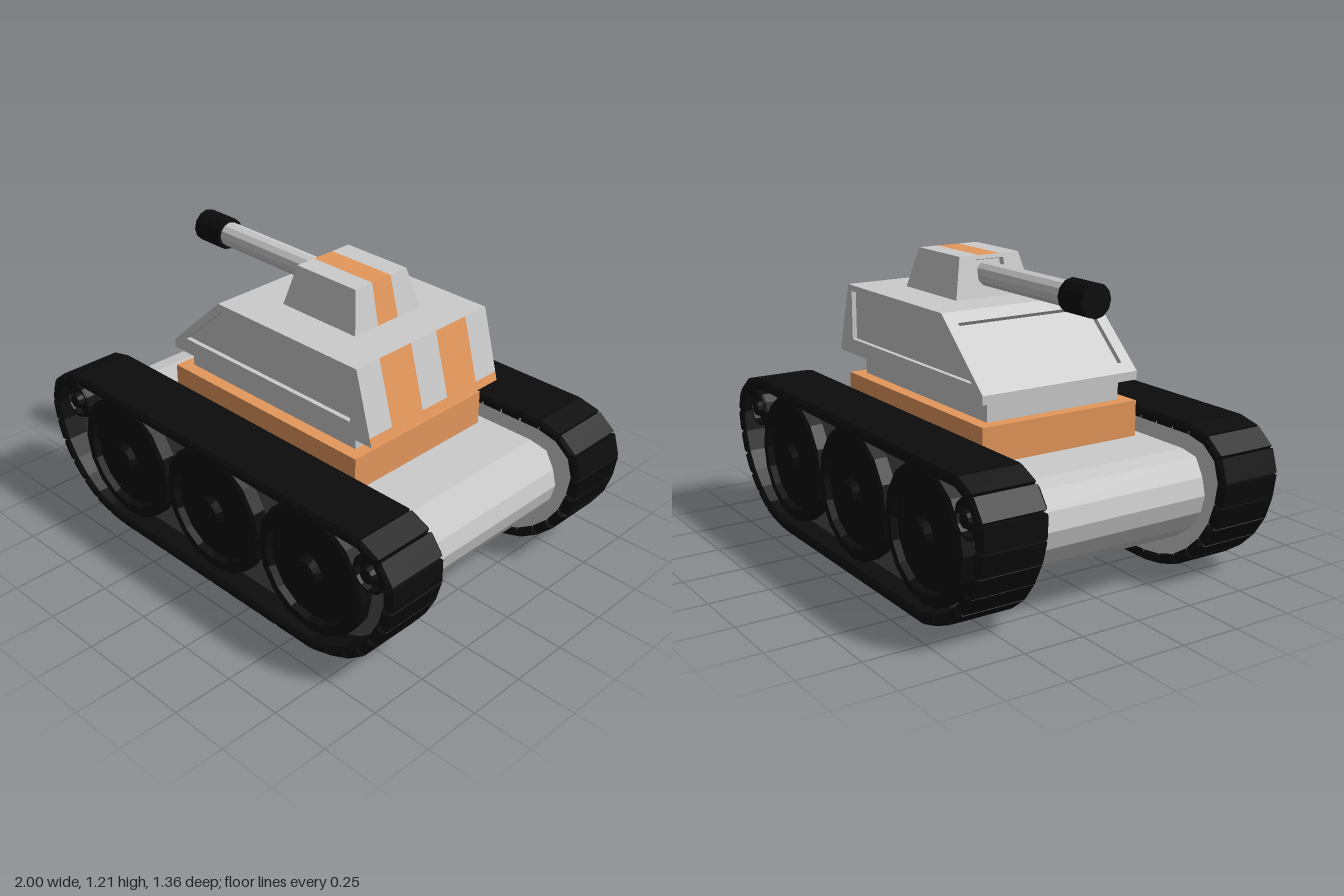
import * as THREE from 'three';
import { mergeGeometries } from 'three/addons/utils/BufferGeometryUtils.js';

const mat = (color) => new THREE.MeshStandardMaterial({ color, flatShading: true });
const grey = mat(0xcccccc), orange = mat(0xe6985c), black = mat(0x0c0c0c), dark = mat(0x4c4c4c);
const V = (x, y, z) => new THREE.Vector3(x, y, z);

function add(parent, name, geometry, material, x = 0, y = 0, z = 0) {
  const mesh = new THREE.Mesh(geometry, material);
  mesh.name = name;
  mesh.position.set(x, y, z);
  parent.add(mesh);
  return mesh;
}

// Collects flat convex faces, turned outward from a centre point
class Faces {
  constructor(centre) { this.centre = centre; this.pos = []; }
  fan(p) {
    for (let i = 1; i < p.length - 1; i++) {
      const t = new THREE.Triangle(p[0], p[i], p[i + 1]);
      if (t.getArea() > 1e-7) for (const v of [t.a, t.b, t.c]) this.pos.push(v.x, v.y, v.z);
    }
  }
  normal(p) { return new THREE.Triangle(p[0], p[1], p[2]).getNormal(new THREE.Vector3()); }
  inward(p) { return this.normal(p).dot(p[0].clone().sub(this.centre)) < 0; }
  face(...p) { this.fan(this.inward(p) ? p.reverse() : p); return this; }
  // Face with a sunken panel: frame, walls and floor
  inset(outer, inner, depth) {
    if (this.inward(outer)) { outer = [...outer].reverse(); inner = [...inner].reverse(); }
    const push = this.normal(outer).multiplyScalar(-depth);
    const floor = inner.map((v) => v.clone().add(push));
    outer.forEach((o, i) => {
      const j = (i + 1) % outer.length;
      this.fan([o, outer[j], inner[j], inner[i]]);
      this.fan([inner[i], inner[j], floor[j], floor[i]]);
    });
    this.fan(floor);
    return this;
  }
  geometry() {
    const g = new THREE.BufferGeometry();
    g.setAttribute('position', new THREE.Float32BufferAttribute(this.pos, 3));
    g.computeVertexNormals();
    return g;
  }
}

// Mirrors a half outline (top to bottom, +x) into a closed one
const mirrored = (half) => [...half, ...[...half].reverse().map(([x, y]) => [-x, y])];

function slab(points, z0, z1) {
  const shape = new THREE.Shape(points.map(([x, y]) => new THREE.Vector2(x, y)));
  return new THREE.ExtrudeGeometry(shape, { depth: z1 - z0, bevelEnabled: false }).translate(0, 0, z0);
}

const hullOutline = mirrored([[0.75, 0.525], [0.83, 0.51], [0.87, 0.44], [0.888, 0.37],
  [0.87, 0.3], [0.82, 0.225], [0.74, 0.165], [0.6, 0.105]]);
const trackOutline = mirrored([[0.83, 0.607], [0.925, 0.565], [0.975, 0.49], [0.975, 0.4],
  [0.94, 0.275], [0.86, 0.155], [0.75, 0.07], [0.6, 0.024]]);

// Ring of bevelled links following the track outline
function trackLinks() {
  const path = new THREE.CurvePath();
  const pts = trackOutline.map(([x, y]) => new THREE.Vector2(x, y));
  pts.forEach((p, i) => path.add(new THREE.LineCurve(p, pts[(i + 1) % pts.length])));
  const count = 48, pitch = path.getLength() / count, b = 0.012;
  const w = pitch / 2 - b, h = 0.023 - b;
  const shape = new THREE.Shape([[-w, -h], [w, -h], [w, h], [-w, h]].map((p) => new THREE.Vector2(...p)));
  const link = new THREE.ExtrudeGeometry(shape, {
    depth: 0.282 - 2 * b, bevelSize: b, bevelThickness: b, bevelSegments: 1,
  }).translate(0, 0, 0.397 + b);
  const links = [];
  for (let i = 0; i < count; i++) {
    const p = path.getPointAt(i / count), q = path.getPointAt(((i + 1) % count) / count);
    links.push(link.clone().rotateZ(Math.atan2(q.y - p.y, q.x - p.x))
      .translate((p.x + q.x) / 2, (p.y + q.y) / 2, 0));
  }
  return mergeGeometries(links);
}

// Wheel with raised rim, sunken disc and hub, outer face toward +z
function wheel(r, hub, segments) {
  const profile = [[0, 0], [r, 0], [r, 0.19], [r * 0.95, 0.2], [r * 0.82, 0.2], [r * 0.78, 0.175],
    [hub * 1.3, 0.185], [hub, 0.21], [hub * 0.7, 0.215], [0, 0.215]];
  return new THREE.LatheGeometry(profile.map((p) => new THREE.Vector2(...p)), segments).rotateX(Math.PI / 2);
}

function makeTrack(name) {
  const track = new THREE.Group();
  track.name = name;
  const plate = trackOutline.map(([x, y]) => [x * 0.985, 0.315 + (y - 0.315) * 0.97]);
  add(track, 'links', trackLinks(), black);
  add(track, 'innerPlate', slab(plate, 0.405, 0.43), grey);
  add(track, 'outerPlate', slab(plate, 0.43, 0.58), dark);
  for (const x of [-0.545, 0, 0.545]) add(track, 'roadWheel', wheel(0.272, 0.052, 16), black, x, 0.32, 0.445);
  for (const x of [-0.855, 0.855]) add(track, 'idlerWheel', wheel(0.08, 0.03, 12), black, x, 0.475, 0.445);
  return track;
}

function makeTurret() {
  const turret = new THREE.Group();
  turret.name = 'turret';
  const body = new Faces(V(0.05, 0.9, 0)), paint = new Faces(V(0.05, 0.9, 0));
  const W = 0.36;
  const side = [[-0.52, 0.755], [0.595, 0.755], [0.515, 1.05], [-0.235, 1.05], [-0.52, 0.79]];
  const panel = [[-0.445, 0.82], [0.485, 0.82], [0.485, 1.025], [-0.215, 1.025], [-0.445, 0.82]];
  // Sides with sunken panels
  for (const s of [-W, W]) body.inset(side.map(([x, y]) => V(x, y, s)), panel.map(([x, y]) => V(x, y, s)), 0.02);
  const strip = (f, a, b, z0, z1) =>
    f.face(V(...a, z0), V(...a, z1), V(...b, z1), V(...b, z0));
  strip(body, side[0], side[1], -W, W);
  strip(body, side[2], side[3], -W, W);
  strip(body, side[4], side[0], -W, W);
  // Sloped front with sunken window
  const rect = (a, b, w) => [V(...a, -w), V(...a, w), V(...b, w), V(...b, -w)];
  body.inset(rect(side[4], side[3], W), rect([-0.485, 0.822], [-0.275, 1.0135], 0.31), 0.02);
  // Striped rear
  const low = [0.5855, 0.79];
  strip(paint, side[1], low, -W, W);
  const cuts = [-W, -0.24, -0.07, 0.07, 0.24, W];
  for (let i = 0; i < 5; i++) strip(i % 2 ? paint : body, low, side[2], cuts[i], cuts[i + 1]);
  add(turret, 'turretBody', body.geometry(), grey);
  add(turret, 'turretStripes', paint.geometry(), orange);
  return turret;
}

function makeCupola() {
  const cupola = new THREE.Group();
  cupola.name = 'cupola';
  const body = new Faces(V(0.14, 1.12, 0)), paint = new Faces(V(0.14, 1.12, 0));
  const y0 = 1.05, y1 = 1.215, b = 0.18, t = 0.14;
  for (const s of [-1, 1]) {
    body.face(V(-0.055, y0, s * b), V(0.335, y0, s * b), V(0.295, y1, s * t), V(-0.015, y1, s * t));
  }
  // Front with the gun opening
  const fx = (y) => -0.055 + 0.04 * (y - y0) / (y1 - y0);
  const frontRect = (l, h, wl, wh) => [V(fx(l), l, -wl), V(fx(l), l, wl), V(fx(h), h, wh), V(fx(h), h, -wh)];
  body.inset(frontRect(y0, y1, b, t), frontRect(1.07, 1.198, 0.065, 0.065), 0.03);
  // Stripe over the roof and rear
  const lowCuts = [-b, -0.055, 0.055, b], topCuts = [-t, -0.05, 0.05, t];
  for (let i = 0; i < 3; i++) {
    const f = i === 1 ? paint : body, [c, d] = [topCuts[i], topCuts[i + 1]];
    f.face(V(-0.015, y1, c), V(-0.015, y1, d), V(0.295, y1, d), V(0.295, y1, c));
    f.face(V(0.335, y0, lowCuts[i]), V(0.335, y0, lowCuts[i + 1]), V(0.295, y1, d), V(0.295, y1, c));
  }
  add(cupola, 'cupolaBody', body.geometry(), grey);
  add(cupola, 'cupolaStripe', paint.geometry(), orange);
  // Gun
  const rod = (r, len) => new THREE.CylinderGeometry(r, r, len, 12).rotateZ(Math.PI / 2);
  add(cupola, 'barrel', rod(0.051, 0.64), grey, -0.27, 1.135, 0);
  add(cupola, 'muzzle', rod(0.067, 0.146), black, -0.643, 1.135, 0);
  return cupola;
}

export function createModel() {
  const tank = new THREE.Group();
  tank.name = 'tank';
  add(tank, 'hull', slab(hullOutline, -0.41, 0.41), grey);
  add(tank, 'deckBase', new THREE.BoxGeometry(1.035, 0.147, 0.72), orange, -0.002, 0.5965, 0);
  add(tank, 'turretCollar', new THREE.BoxGeometry(0.935, 0.09, 0.615), grey, -0.002, 0.712, 0);
  tank.add(makeTurret(), makeCupola());
  const near = makeTrack('frontTrack'), far = makeTrack('backTrack');
  far.rotation.y = Math.PI;
  tank.add(near, far);
  return tank;
}
